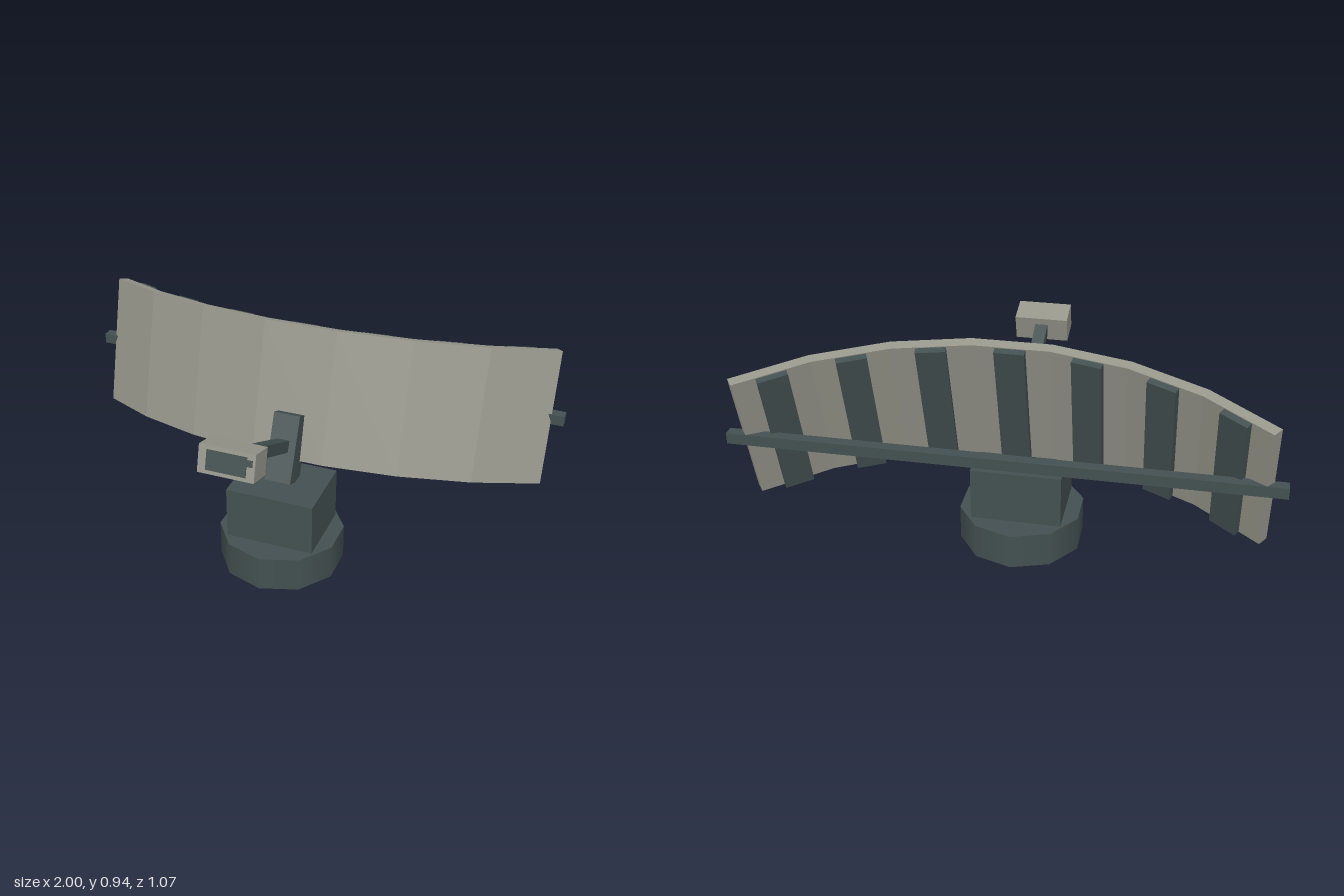
import * as THREE from 'three';

export function createModel() {
  const root = new THREE.Group();
  root.name = 'radarAntenna';
  const mat = (name, color) => {
    const m = new THREE.MeshStandardMaterial({ color });
    m.name = name;
    return m;
  };
  const light = mat('paleGrey', 0x97968b);
  const dark = mat('darkSlate', 0x435051);
  const deg = Math.PI / 180;

  const add = (parent, name, geo, material, pos = [0, 0, 0], rot = [0, 0, 0]) => {
    const m = new THREE.Mesh(geo, material);
    m.name = name;
    m.position.set(...pos);
    m.rotation.set(...rot);
    parent.add(m);
    return m;
  };
  const box = (w, h, d) => new THREE.BoxGeometry(w, h, d);

  // Pedestal
  add(root, 'base', new THREE.CylinderGeometry(0.25, 0.25, 0.143, 10), dark, [0, 0.0715, 0]);
  add(root, 'turntable', box(0.357, 0.214, 0.286), dark, [0, 0.25, 0]);
  add(root, 'neck', box(0.107, 0.27, 0.108), dark, [0, 0.483, -0.05], [-23 * deg, 0, 0]);

  // Curved reflector: seven flat panels on an arc, leaning back
  const R = 1.526, T = 0.04, H = 0.537, step = 5.5 * deg, N = 7;
  const flat = R * Math.cos(step);
  const reflector = new THREE.Group();
  reflector.name = 'reflector';
  reflector.position.set(0, 0.685, -0.1225);
  reflector.rotation.x = -15 * deg;
  root.add(reflector);

  const outline = [];
  const point = (r, a) => new THREE.Vector2(r * Math.sin(a), flat - r * Math.cos(a));
  for (let i = -N; i <= N; i += 2) outline.push(point(R, i * step));
  for (let i = N; i >= -N; i -= 2) outline.push(point(R - T, i * step));
  const dish = new THREE.ExtrudeGeometry(new THREE.Shape(outline), { depth: H, bevelEnabled: false });
  dish.rotateX(-Math.PI / 2);
  dish.translate(0, -H / 2, 0);
  add(reflector, 'dish', dish, light);

  // One stiffening rib behind each panel
  const ribR = (R - T) * Math.cos(step) - 0.009;
  for (let i = -3; i <= 3; i++) {
    const a = i * 2 * step;
    add(reflector, 'rib', box(0.11, 0.53, 0.036), dark,
      [ribR * Math.sin(a), 0, ribR * Math.cos(a) - flat], [0, a, 0]);
  }

  // Straight brace across the back
  add(root, 'brace', box(2, 0.042, 0.042), dark, [0, 0.599, -0.454]);

  // Feed arm from the neck to the horn
  const a0 = new THREE.Vector2(-0.05, 0.492), a1 = new THREE.Vector2(0.44, 0.727);
  const dir = a1.clone().sub(a0);
  add(root, 'feedArm', box(0.05, 0.048, dir.length()), dark,
    [0, (a0.y + a1.y) / 2, (a0.x + a1.x) / 2], [-Math.atan2(dir.y, dir.x), 0, 0]);

  // Feed horn with a dark opening
  const horn = new THREE.Group();
  horn.name = 'feedHorn';
  horn.position.set(0, 0.733, 0.473);
  horn.rotation.x = -15 * deg;
  root.add(horn);
  add(horn, 'hornBox', box(0.212, 0.104, 0.108), light);
  add(horn, 'hornOpening', box(0.15, 0.074, 0.006), dark, [0, 0, 0.0545]);
  add(horn, 'hornTab', box(0.024, 0.024, 0.006), dark, [0.084, 0.016, 0.0545]);

  return root;
}
